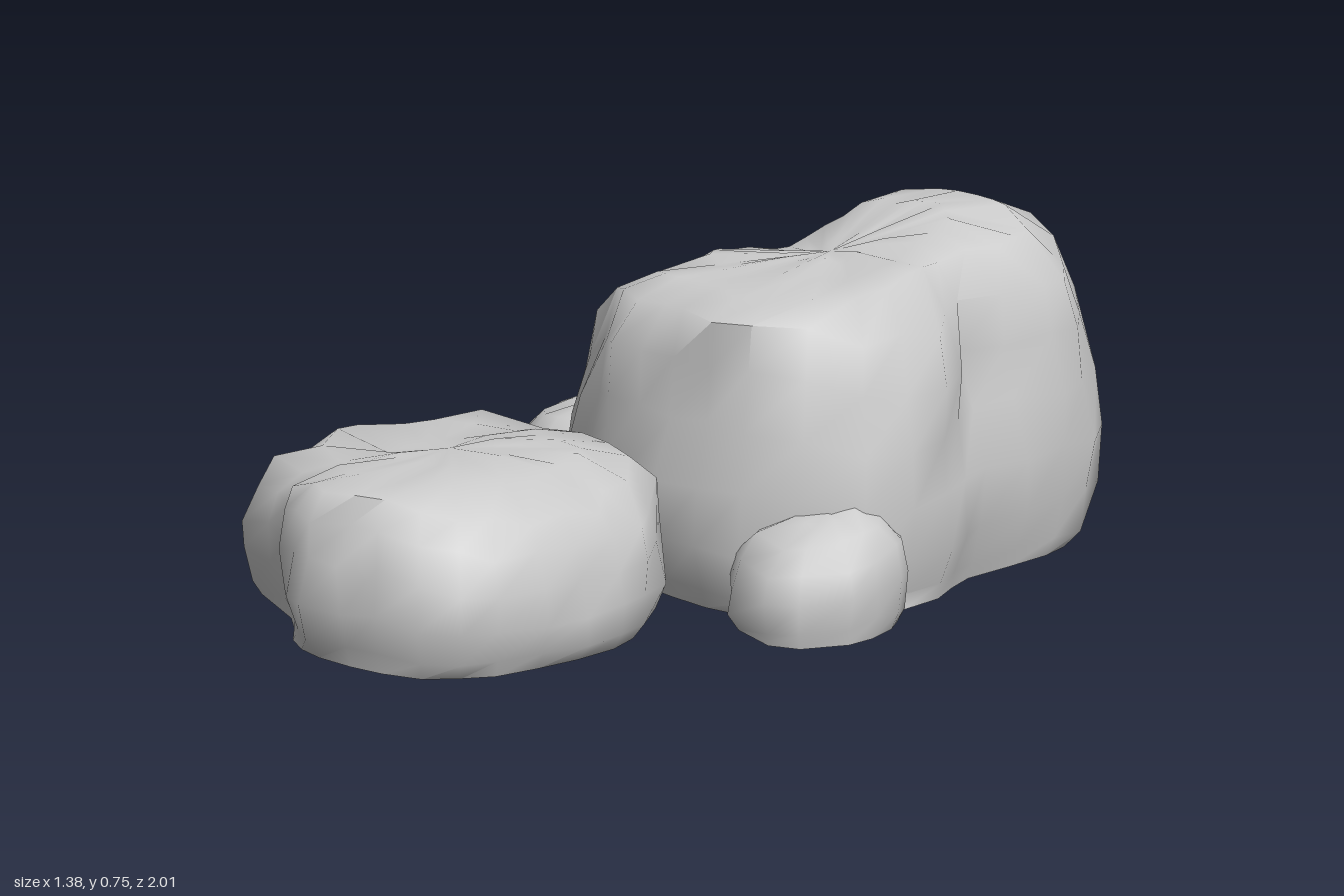
import * as THREE from 'three';
import { toCreasedNormals } from 'three/addons/utils/BufferGeometryUtils.js';

// Small seeded generator, values in -1..1
function seeded(seed) {
  let s = seed;
  return () => {
    s = (s * 16807) % 2147483647;
    return (s / 2147483647) * 2 - 1;
  };
}

const material = new THREE.MeshStandardMaterial({ color: 0xcccccc, roughness: 0.9 });
const bump = (d, w) => Math.exp(-(d * d) / (w * w));
// Soft lumps shared by all rocks
const lump = (x, y, z) => Math.sin(17 * x + 9 * y) * Math.sin(15 * z - 11 * y + 1) * Math.cos(13 * y + 5 * x);

// A rock is its plan outline (clockwise from above, x/z pairs) lofted through
// levels of [fraction of local height, outline scale], closed by an apex and a flat base.
function rock(name, { outline, levels, height, sides, rough, seed, dent = () => 0 }) {
  const rand = seeded(seed);
  const curve = new THREE.CatmullRomCurve3(
    outline.map(([x, z]) => new THREE.Vector3(x, 0, z)), true, 'catmullrom', 0.3);
  const plan = curve.getPoints(sides).slice(0, sides);
  const centre = new THREE.Vector3();
  plan.forEach((p) => centre.addScaledVector(p, 1 / sides));

  const pos = [];
  const index = [];
  levels.forEach(([f, scale]) => {
    plan.forEach((p) => {
      const k = scale + (f > 0 ? rand() * rough - rough * 0.3 : rand() * 0.01);
      const x0 = centre.x + (p.x - centre.x) * k;
      const z0 = centre.z + (p.z - centre.z) * k;
      const h = height(x0, z0);
      const y = f > 0 ? h * f + rand() * rough * 0.2 : 0;
      // Lumps and local hollows move the wall in and out
      const pull = 1 - dent(x0, y, z0) + (f > 0 ? 0.035 * lump(x0, y, z0) : 0);
      pos.push(centre.x + (x0 - centre.x) * pull, y, centre.z + (z0 - centre.z) * pull);
    });
  });
  const apex = pos.length / 3;
  pos.push(centre.x, height(centre.x, centre.z), centre.z, centre.x, 0, centre.z);

  for (let i = 0; i < sides; i++) {
    const j = (i + 1) % sides;
    for (let r = 0; r < levels.length - 1; r++) {
      const a = r * sides + i, b = r * sides + j;
      index.push(a, a + sides, b, b, a + sides, b + sides);
    }
    const top = (levels.length - 1) * sides;
    index.push(top + i, apex, top + j, i, j, apex + 1);
  }
  const geo = new THREE.BufferGeometry();
  geo.setAttribute('position', new THREE.Float32BufferAttribute(pos, 3));
  geo.setIndex(index);
  const mesh = new THREE.Mesh(toCreasedNormals(geo, 1.05), material);
  mesh.name = name;
  return mesh;
}

// Wall profiles: tall and tapering, low with a bevelled rim, small and rounded
const tall = [[0, 0.92], [0.06, 0.96], [0.22, 1], [0.42, 1.01], [0.62, 0.98], [0.8, 0.935], [0.95, 0.87], [1, 0.7], [1, 0.45], [1, 0.2]];
const low = [[0, 0.91], [0.12, 0.96], [0.35, 1.01], [0.6, 0.99], [0.82, 0.94], [0.96, 0.83], [1, 0.6], [1, 0.3]];
const round = [[0, 0.9], [0.15, 0.97], [0.42, 1.01], [0.68, 0.93], [0.9, 0.7], [0.99, 0.38]];

export function createModel() {
  const group = new THREE.Group();
  group.name = 'rockPile';

  // Tall boulder: roof rises in ledges to the back and falls away to both sides
  group.add(rock('mainBoulder', {
    outline: [[-0.2, -0.8], [0, -0.86], [0.2, -0.9], [0.36, -0.88], [0.52, -0.81], [0.57, -0.65],
      [0.56, -0.37], [0.62, -0.2], [0.61, 0.04], [0.42, 0.21], [0.2, 0.22], [0, 0.19],
      [-0.15, 0.12], [-0.32, 0], [-0.33, -0.1], [-0.25, -0.35], [-0.26, -0.6]],
    levels: tall, sides: 34, rough: 0.035, seed: 71,
    height: (x, z) => {
      const roof = 0.63 + 0.03 * THREE.MathUtils.smoothstep(-z, 0, 0.3)
        + 0.085 * THREE.MathUtils.smoothstep(-z, 0.28, 0.63);
      const flank = 0.745 - 0.8 * (Math.max(0, 0.05 - x) + Math.max(0, x - 0.36));
      return Math.max(0.44, Math.min(roof, flank)) - 0.04 * bump(x, 0.14) * bump(z + 0.4, 0.1);
    },
    dent: (x, y, z) =>
      0.11 * bump(z + 0.42, 0.1) * bump(y - 0.47, 0.13) * (x > 0.3 ? 1 : 0.3) +
      0.08 * bump(x - 0.17, 0.1) * bump(y - 0.4, 0.08) * (z > 0 ? 1 : 0),
  }));

  // Low wide rock in front, its right end thinning to a blunt point
  group.add(rock('frontRock', {
    outline: [[-0.42, 0.15], [-0.1, 0.13], [0.02, 0.19], [0.23, 0.23], [0.36, 0.38], [0.41, 0.5],
      [0.4, 0.68], [0.36, 0.82], [0.28, 0.92], [0.14, 0.97], [0, 0.99], [-0.12, 0.96],
      [-0.2, 0.9], [-0.46, 0.79], [-0.55, 0.58], [-0.49, 0.37]],
    levels: low, sides: 26, rough: 0.035, seed: 1234,
    height: (x, z) => 0.355 - 0.45 * Math.max(0, x - 0.2) - 0.7 * Math.max(0, -0.33 - x)
      - 0.03 * bump(x + 0.2, 0.1) - 0.04 * Math.abs(z - 0.6),
    dent: (x, y, z) => 0.08 * bump(x + 0.24, 0.09) * (z > 0.6 ? 1 : 0) * bump(y - 0.1, 0.13),
  }));

  // Small rocks around the boulder
  group.add(rock('backRightRock', {
    outline: [[-0.64, -0.94], [-0.45, -1], [-0.35, -0.99], [-0.24, -0.92], [-0.19, -0.78],
      [-0.23, -0.68], [-0.27, -0.53], [-0.42, -0.48], [-0.55, -0.53], [-0.68, -0.63], [-0.7, -0.78]],
    levels: round, sides: 16, rough: 0.045, seed: 555,
    height: (x) => 0.3 + 0.25 * (x + 0.43),
  }));
  group.add(rock('middleRightRock', {
    outline: [[-0.69, -0.25], [-0.64, -0.41], [-0.45, -0.47], [-0.35, -0.45], [-0.27, -0.35],
      [-0.25, -0.2], [-0.34, -0.07], [-0.45, -0.03], [-0.55, -0.05], [-0.67, -0.16]],
    levels: round, sides: 14, rough: 0.045, seed: 909,
    height: (x) => 0.25 + 0.1 * (x + 0.45),
  }));
  group.add(rock('leftRock', {
    outline: [[0.6, -0.08], [0.67, 0], [0.69, 0.14], [0.6, 0.29], [0.41, 0.24], [0.36, 0.1], [0.45, -0.09]],
    levels: round, sides: 13, rough: 0.045, seed: 4242,
    height: (x, z) => 0.24 - 0.15 * (z - 0.05),
  }));
  return group;
}
